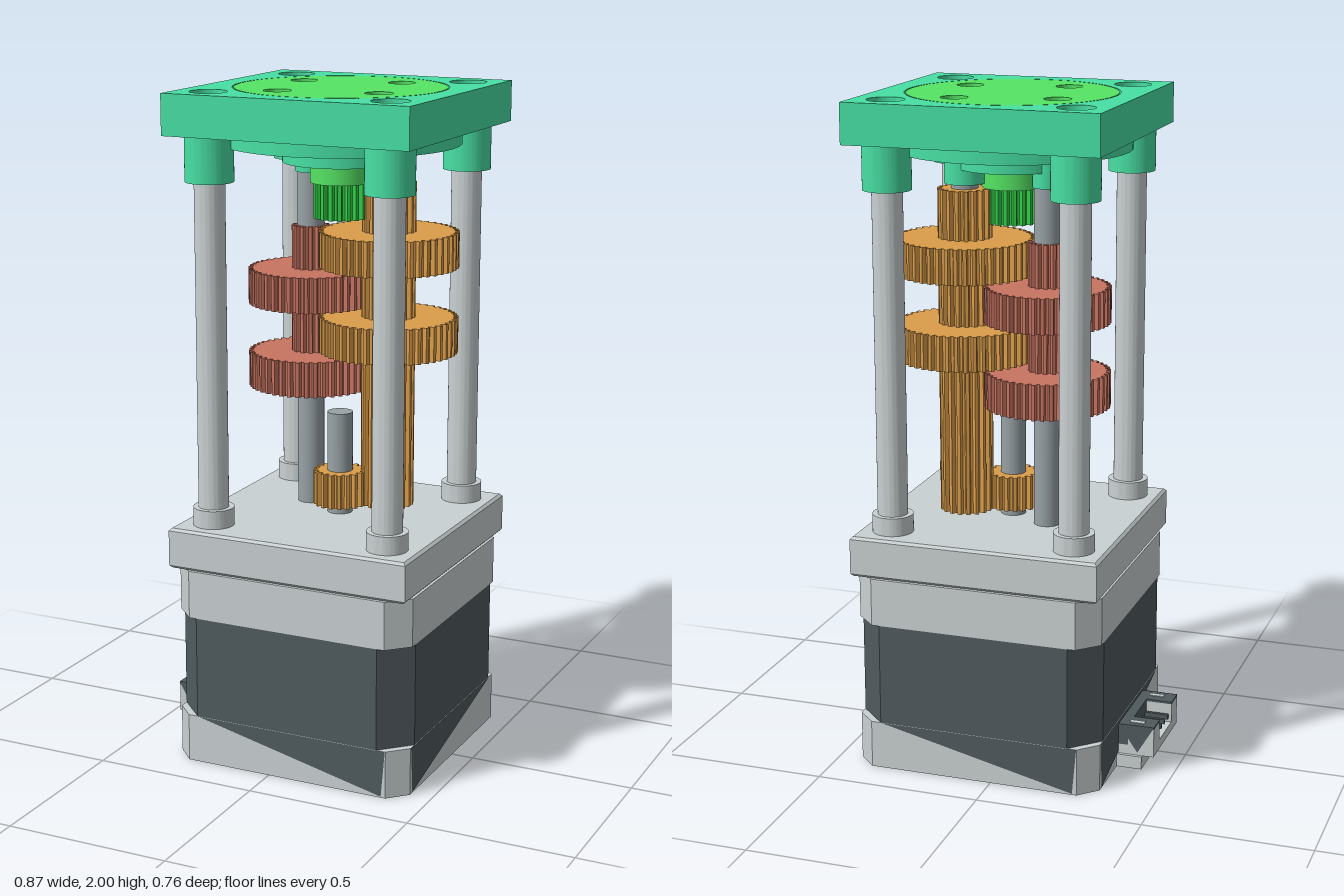
import * as THREE from 'three';
import { toCreasedNormals } from 'three/addons/utils/BufferGeometryUtils.js';

const mat = (name, color, side = THREE.FrontSide) => {
  const m = new THREE.MeshStandardMaterial({ color, side });
  m.name = name;
  return m;
};

export function createModel() {
  const root = new THREE.Group();
  root.name = 'gearedMotor';
  const teal = mat('teal', 0x48e0a4), lime = mat('lime', 0x55e564), green = mat('gearGreen', 0x32cf46);
  const silver = mat('silver', 0xcad1d2), steel = mat('steel', 0x98a2a6);
  const dark = mat('charcoal', 0x505a5e, THREE.DoubleSide);
  const orange = mat('bronze', 0xdb9d4a), red = mat('copper', 0xc87461);

  const CX = 0.055, HALF = 0.38, POST = 0.281, BORE = 0.03;
  const corners = [[-1, -1], [1, -1], [1, 1], [-1, 1]].map(([a, b]) => [a * POST, b * POST]);

  const add = (name, geo, material, x = 0, y = 0, z = 0, parent = root) => {
    const m = new THREE.Mesh(geo, material);
    m.name = name;
    m.position.set(x, y, z);
    parent.add(m);
    return m;
  };
  const cyl = (name, material, r, y0, y1, x, z) =>
    add(name, new THREE.CylinderGeometry(r, r, y1 - y0, 40), material, x, (y0 + y1) / 2, z);
  const box = (name, material, x0, x1, y0, y1, z0, z1) =>
    add(name, new THREE.BoxGeometry(x1 - x0, y1 - y0, z1 - z0), material, (x0 + x1) / 2, (y0 + y1) / 2, (z0 + z1) / 2);
  const outline = pts => new THREE.Shape(pts.map(p => new THREE.Vector2(...p)));

  // Vertical slab from an outline in x and z, with round holes [x, z, r]
  const slab = (name, material, shape, y0, y1, x, z, holes = [], bevel = 0) => {
    for (const [hx, hz, r] of holes) {
      const p = new THREE.Path();
      p.absarc(hx, -hz, r, 0, Math.PI * 2, true);
      shape.holes.push(p);
    }
    const geo = new THREE.ExtrudeGeometry(shape, {
      depth: y1 - y0 - 2 * bevel, curveSegments: 40, bevelEnabled: bevel > 0,
      bevelThickness: bevel, bevelSize: bevel, bevelOffset: -bevel, bevelSegments: 1,
    });
    geo.translate(0, 0, bevel);
    geo.rotateX(-Math.PI / 2);
    return add(name, toCreasedNormals(geo, 0.4), material, x, y0, z);
  };
  const circle = r => new THREE.Shape().absarc(0, 0, r, 0, Math.PI * 2, false);
  const tube = (name, material, r, rIn, y0, y1, x, z) =>
    slab(name, material, circle(r), y0, y1, x, z, [[0, 0, rIn]]);
  // Square with cut corners
  const octagon = (h, c) => outline([
    [h, -h + c], [h, h - c], [h - c, h], [-h + c, h], [-h, h - c], [-h, -h + c], [-h + c, -h], [h - c, -h],
  ]);
  const square = h => outline([[-h, -h], [h, -h], [h, h], [-h, h]]);
  const cornerHoles = r => corners.map(([x, z]) => [x, z, r]);

  // Spur gear with tapered teeth
  const gear = (name, material, r, teeth, y0, y1, x, z) => {
    const pts = [], step = Math.PI * 2 / teeth, inner = r - 0.014;
    for (let i = 0; i < teeth; i++)
      for (const [f, rad] of [[0, inner], [0.3, inner], [0.45, r], [0.82, r]]) {
        const a = (i + f) * step;
        pts.push([Math.cos(a) * rad, Math.sin(a) * rad]);
      }
    return slab(name, material, outline(pts), y0, y1, x, z);
  };

  // Motor body
  slab('motorBase', silver, octagon(HALF - 0.002, 0.055), 0, 0.145, CX, 0, [...cornerHoles(0.046), [0, 0, 0.058]]);
  slab('motorCore', dark, octagon(HALF - 0.002, 0.085), 0.145, 0.455, CX, 0, cornerHoles(BORE));
  slab('motorCap', silver, octagon(HALF - 0.002, 0.062), 0.455, 0.6, CX, 0, cornerHoles(BORE));
  slab('mountFlange', silver, square(HALF), 0.602, 0.725, CX, 0, cornerHoles(BORE), 0.008);

  // Dark wedges painted on the four base sides
  for (let i = 0; i < 4; i++) {
    const s = i % 2 ? -1 : 1;
    const tri = outline([[-0.29 * s, 0.145], [0.31 * s, 0.004], [0.322 * s, 0.145]]);
    const pivot = new THREE.Group();
    pivot.name = 'baseWedge';
    pivot.position.x = CX;
    pivot.rotation.y = i * Math.PI / 2;
    root.add(pivot);
    add('wedgePlate', new THREE.ShapeGeometry(tri), dark, 0, 0, HALF, pivot);
  }

  // Connector on the -x side
  box('connectorLedge', silver, -0.4, -0.32, 0, 0.04, -0.145, 0.145);
  box('connectorFloor', silver, -0.435, -0.32, 0.04, 0.07, -0.135, 0.135);
  box('connectorBack', dark, -0.355, -0.32, 0.07, 0.135, -0.135, 0.135);
  for (const s of [-1, 1]) {
    const z = (a, b) => s > 0 ? [a, b] : [-b, -a];
    box('connectorWall', silver, -0.435, -0.355, 0.07, 0.129, ...z(0.07, 0.135));
    box('connectorRim', dark, -0.435, -0.355, 0.129, 0.136, ...z(0.07, 0.135));
    box('connectorLatch', silver, -0.4, -0.355, 0.13, 0.138, ...z(0.1, 0.117));
    const side = outline([[-0.435, 0.135], [-0.325, 0.135], [-0.385, 0.05]]);
    add('connectorSide', new THREE.ShapeGeometry(side), dark, 0, 0, s * 0.138);
  }
  for (const z of [-0.058, -0.02, 0.018, 0.056])
    box('connectorPin', dark, -0.428, -0.355, 0.085, 0.1, z - 0.005, z + 0.005);

  // Corner posts with washers and collars
  for (const [px, z] of corners) {
    const x = px + CX;
    tube('post', silver, 0.045, BORE, 0.725, 1.88, x, z);
    tube('postWasher', silver, 0.061, 0.04, 0.725, 0.78, x, z);
    tube('postCollar', teal, 0.071, 0.04, 1.745, 1.88, x, z);
  }

  // Top plate, counterbored, with a recess for the output disc
  slab('plateLower', teal, square(HALF), 1.88, 1.94, CX, 0, cornerHoles(BORE));
  slab('plateUpper', teal, square(HALF), 1.94, 2, CX, 0, [...cornerHoles(0.055), [0, 0, 0.313]]);
  slab('outputDisc', lime, circle(0.309), 1.94, 2, CX, 0,
    [[0.115, -0.175, 0.04], [-0.175, -0.118, 0.04], [-0.118, 0.172, 0.04], [0.172, 0.116, 0.04]]);

  // Stepped bearing housing under the plate
  cyl('housingStep', teal, 0.352, 1.84, 1.88, CX, 0);
  tube('housingRing', teal, 0.17, 0.1, 1.785, 1.84, CX, 0);

  // Axes of the two gear shafts
  const A = [0.18, -0.068], B = [-0.075, -0.068];
  cyl('bearingBossA', teal, 0.06, 1.74, 1.84, ...A);
  cyl('bearingBossB', teal, 0.045, 1.74, 1.84, ...B);
  cyl('shaftA', steel, 0.04, 1.72, 1.76, ...A);
  cyl('shaftB', steel, 0.04, 0.725, 1.76, ...B);
  cyl('motorShaft', steel, 0.038, 0.725, 1.035, CX, 0);
  gear('motorPinion', orange, 0.08, 18, 0.75, 0.855, CX, 0);

  // Bronze gears on shaft A
  gear('longPinion', orange, 0.08, 18, 0.748, 1.2, ...A);
  cyl('gearHub', orange, 0.06, 1.2, 1.22, ...A);
  for (const [y, top] of [[1.22, 1.45], [1.475, 1.725]]) {
    gear('largeBronzeGear', orange, 0.207, 48, y, y + 0.105, ...A);
    gear('smallBronzeGear', orange, 0.08, 18, y + 0.105, top, ...A);
  }
  cyl('gearHub', orange, 0.06, 1.45, 1.475, ...A);

  // Copper gears on shaft B
  for (const y of [1.092, 1.345]) {
    gear('largeCopperGear', red, 0.187, 44, y, y + 0.106, ...B);
    gear('smallCopperGear', red, 0.057, 13, y + 0.106, y + 0.235, ...B);
  }

  // Output gear and its hub
  gear('outputGear', green, 0.08, 18, 1.62, 1.725, CX, 0);
  cyl('outputHub', lime, 0.09, 1.725, 1.84, CX, 0);

  return root;
}
